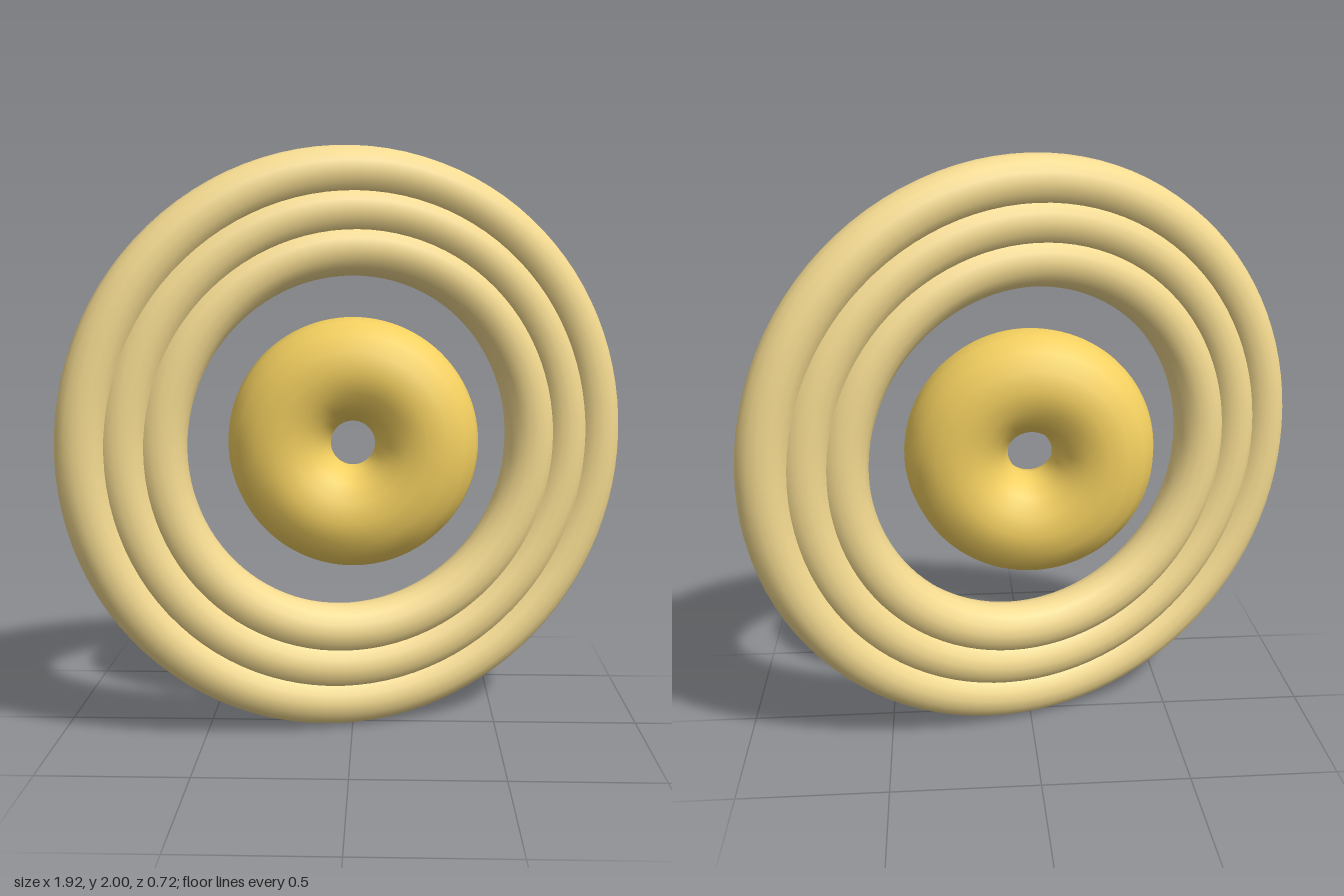
import * as THREE from 'three';

const UNIT = 1 / 3.95; // outermost ring reaches a radius of 1

function torus(name, radius, tube, material) {
  const geometry = new THREE.TorusGeometry(radius * UNIT, tube * UNIT, 16, 100);
  const mesh = new THREE.Mesh(geometry, material);
  mesh.name = name;
  return mesh;
}

export function createModel() {
  const model = new THREE.Group();
  model.name = 'ringedTorus';
  const gold = new THREE.MeshStandardMaterial({ color: 0xf4d060 });
  const sand = new THREE.MeshStandardMaterial({ color: 0xf4da90 });

  // Fat torus in the middle, facing the front
  const core = torus('core', 1, 0.7, gold);
  core.position.y = 1;
  model.add(core);

  // Three overlapping concentric rings, turned about the vertical axis
  const rings = new THREE.Group();
  rings.name = 'rings';
  rings.position.y = 1;
  rings.rotation.y = 0.3;
  [['innerRing', 2.6], ['middleRing', 3.1], ['outerRing', 3.6]].forEach(([name, radius]) => {
    rings.add(torus(name, radius, 0.35, sand));
  });
  model.add(rings);

  return model;
}
